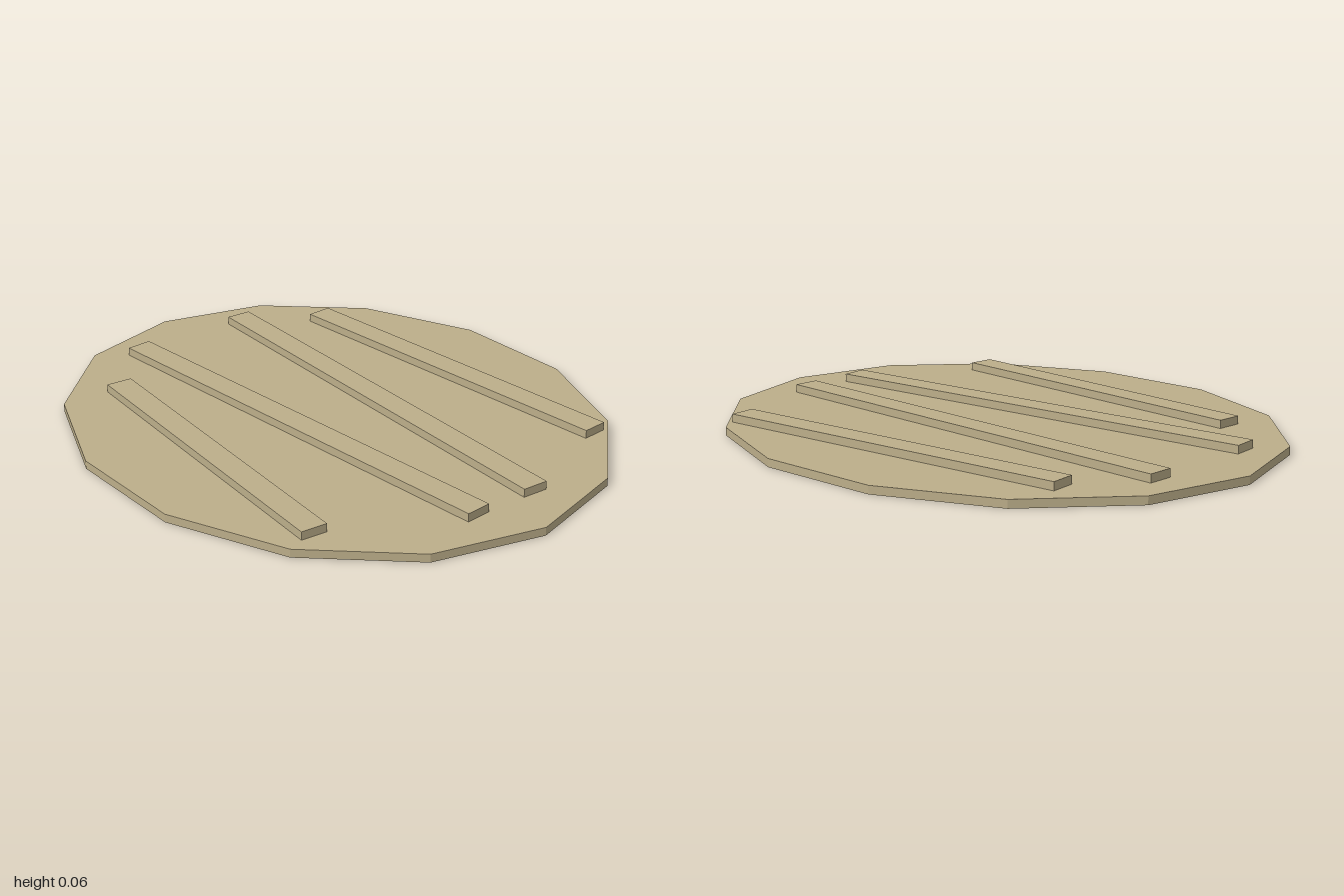
import * as THREE from 'three';

export function createModel() {
  const model = new THREE.Group();
  model.name = 'slattedDisc';
  const wood = new THREE.MeshStandardMaterial({ color: 0xbcae8a });
  wood.name = 'pale wood';
  wood.flatShading = true;

  // Oval fourteen-sided base, with corners on the x axis
  const thickness = 0.028;
  const baseGeometry = new THREE.CylinderGeometry(1, 1, thickness, 14, 1, false, Math.PI / 2);
  baseGeometry.scale(1, 1, 0.853);
  const base = new THREE.Mesh(baseGeometry, wood);
  base.name = 'base';
  base.position.y = thickness / 2;
  model.add(base);

  // Raised slats, slightly skewed: [length, z, turn]
  const slats = [
    [1.33, -0.515, 0.07],
    [1.66, -0.17, -0.055],
    [1.66, 0.17, 0.07],
    [1.22, 0.51, -0.09],
  ];
  const slatHeight = 0.028;
  slats.forEach(([length, z, turn], i) => {
    const slat = new THREE.Mesh(new THREE.BoxGeometry(length, slatHeight, 0.09), wood);
    slat.name = `slat${i + 1}`;
    slat.position.set(0, thickness + slatHeight / 2, z);
    slat.rotation.y = turn;
    model.add(slat);
  });

  return model;
}
